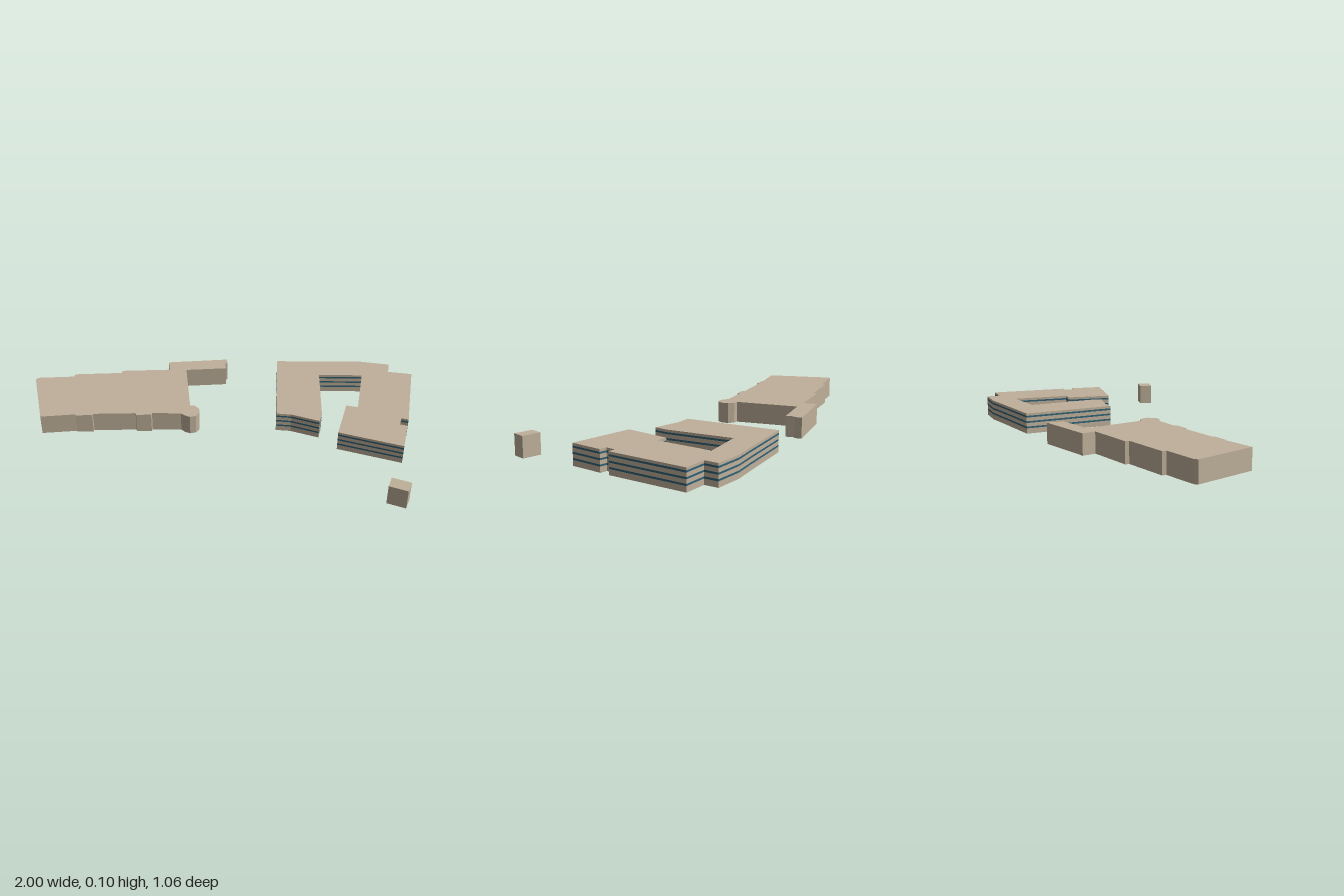
import * as THREE from 'three';

const HEIGHT = 0.105;
const stone = new THREE.MeshStandardMaterial({ color: 0xbfb09a, flatShading: true });
const glass = new THREE.MeshStandardMaterial({ color: 0x2f6278, flatShading: true });

// Footprints as [x, z] corners, clockwise as seen from above
const hallPlan = [
  [-1, -0.253], [-0.985, -0.267], [-0.8, -0.29], [-0.8, -0.311], [-0.552, -0.34], [-0.552, -0.36],
  [-0.297, -0.387], [-0.31, -0.457], [0.005, -0.505], [0.01, -0.468], [-0.003, -0.463], [0.005, -0.42],
  [-0.208, -0.39], [-0.16, -0.072], [-0.135, -0.069], [-0.111, -0.046], [-0.107, -0.012],
  [-0.123, 0.017], [-0.152, 0.027], [-0.18, 0.016], [-0.2, 0], [-0.347, 0.007], [-0.35, 0.02],
  [-0.425, 0.027], [-0.43, 0.013], [-0.645, 0.032], [-0.647, 0.043], [-0.73, 0.05], [-0.73, 0.042],
  [-0.906, 0.072],
];
const courtyardPlan = [
  [0.28, -0.506], [0.607, -0.521], [0.735, -0.529], [0.885, -0.511], [0.877, -0.44], [1, -0.427],
  [0.947, -0.02], [0.911, -0.029], [0.9, 0.021], [0.936, 0.032], [0.906, 0.196], [0.59, 0.107],
  [0.639, -0.12], [0.698, -0.11], [0.733, -0.398], [0.505, -0.388], [0.513, -0.045], [0.5, 0.02],
  [0.358, -0.025], [0.283, -0.029],
];
const hutPlan = [[0.826, 0.433], [0.917, 0.463], [0.896, 0.526], [0.807, 0.495]];

function mesh(name, geometry, material) {
  const m = new THREE.Mesh(geometry, material);
  m.name = name;
  return m;
}

// Upright walls along a footprint, between two heights
function wallBand(plan, y0, y1) {
  const positions = [];
  plan.forEach(([ax, az], i) => {
    const [bx, bz] = plan[(i + 1) % plan.length];
    positions.push(bx, y0, bz, ax, y0, az, ax, y1, az);
    positions.push(bx, y0, bz, ax, y1, az, bx, y1, bz);
  });
  const g = new THREE.BufferGeometry();
  g.setAttribute('position', new THREE.Float32BufferAttribute(positions, 3));
  g.computeVertexNormals();
  return g;
}

// Flat slab face: side 1 looks up (roof), side -1 looks down (floor)
function slab(plan, y, side) {
  const shape = new THREE.Shape(plan.map(([x, z]) => new THREE.Vector2(x, -side * z)));
  return new THREE.ShapeGeometry(shape).rotateX(-side * Math.PI / 2).translate(0, y, 0);
}

// A building with flush window strips centred on the given heights
function building(name, plan, windowHeights = []) {
  const group = new THREE.Group();
  group.name = name;
  const half = 0.0045;
  let y = 0;
  for (const w of windowHeights) {
    group.add(mesh('wall', wallBand(plan, y, w - half), stone));
    group.add(mesh('windowStrip', wallBand(plan, w - half, w + half), glass));
    y = w + half;
  }
  group.add(mesh('wall', wallBand(plan, y, HEIGHT), stone));
  group.add(mesh('roof', slab(plan, HEIGHT, 1), stone));
  group.add(mesh('floor', slab(plan, 0, -1), stone));
  return group;
}

export function createModel() {
  const model = new THREE.Group();
  model.name = 'buildingBlock';
  model.add(building('hall', hallPlan));
  model.add(building('courtyardBuilding', courtyardPlan, [0.032, 0.06, 0.088]));
  model.add(building('hut', hutPlan));
  return model;
}
